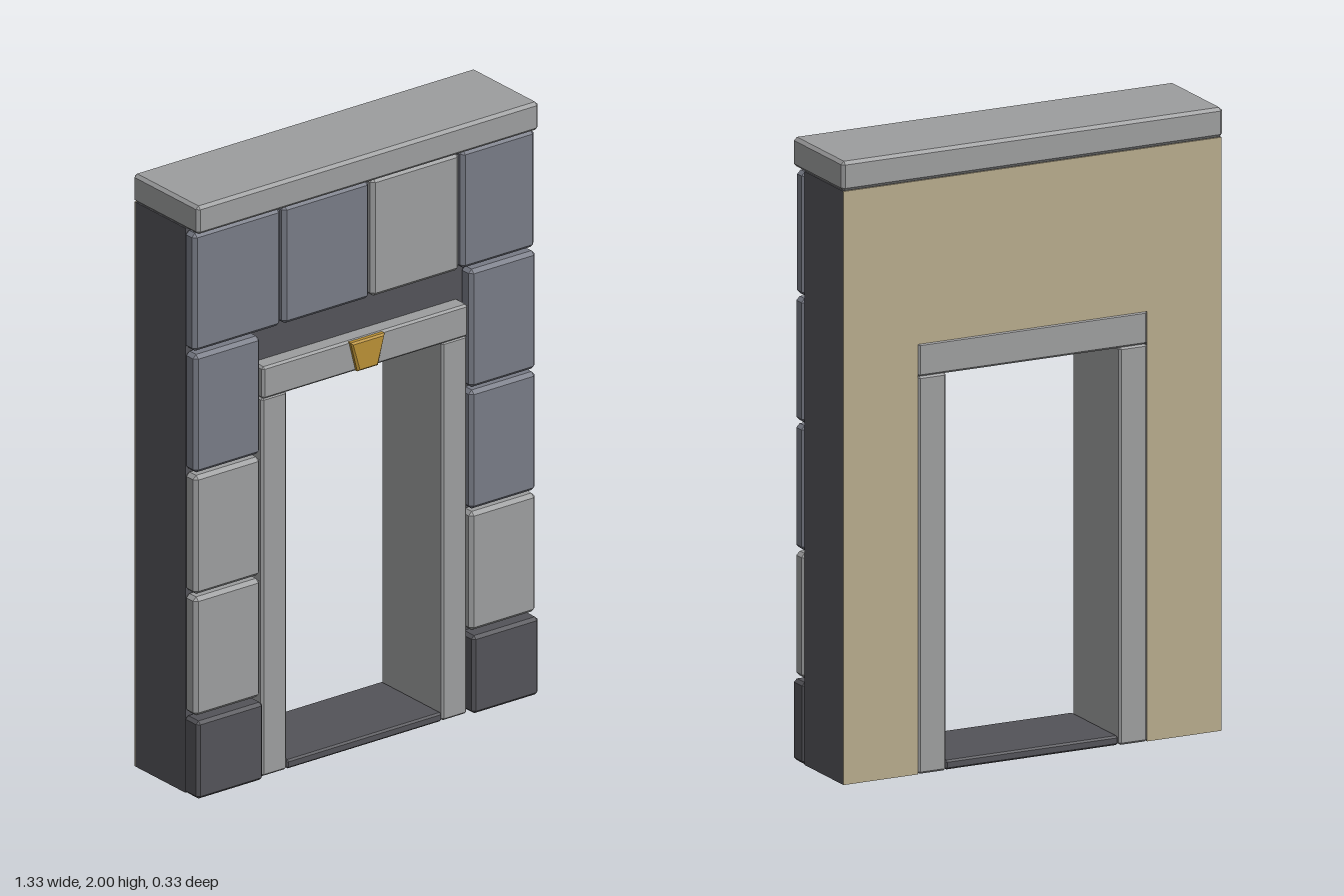
import * as THREE from 'three';
import { ConvexGeometry } from 'three/addons/geometries/ConvexGeometry.js';

const mat = (name, color) => {
  const m = new THREE.MeshStandardMaterial({ color });
  m.name = name;
  return m;
};

// Box between two corners with all edges chamfered by b
function chamferedBox([x0, y0, z0], [x1, y1, z1], b) {
  const h = [(x1 - x0) / 2, (y1 - y0) / 2, (z1 - z0) / 2];
  const points = [];
  for (const sx of [-1, 1]) for (const sy of [-1, 1]) for (const sz of [-1, 1]) {
    for (let full = 0; full < 3; full++) {
      const p = [sx, sy, sz].map((s, i) => s * (h[i] - (i === full ? 0 : b)));
      points.push(new THREE.Vector3(...p));
    }
  }
  return new ConvexGeometry(points).translate((x0 + x1) / 2, (y0 + y1) / 2, (z0 + z1) / 2);
}

// Wall outline with the doorway cut out from below
function archOutline() {
  const pts = [[-0.66, 0], [-0.4, 0], [-0.4, 1.38], [0.4, 1.38], [0.4, 0], [0.66, 0], [0.66, 1.905], [-0.66, 1.905]];
  return new THREE.Shape(pts.map(([x, y]) => new THREE.Vector2(x, y)));
}

export function createModel() {
  const model = new THREE.Group();
  model.name = 'stoneDoorway';
  const stone = mat('lightStone', 0x9c9d9e);
  const slate = mat('blueStone', 0x777a85);
  const dark = mat('darkStone', 0x535358);
  const plaster = mat('plaster', 0xb6aa8c);
  const gold = mat('gold', 0xb88f35);

  const add = (name, geometry, material) => {
    const mesh = new THREE.Mesh(geometry, material);
    mesh.name = name;
    model.add(mesh);
    return mesh;
  };
  const block = (name, a, b, material, bevel = 0.01) => add(name, chamferedBox(a, b, bevel), material);

  // Wall core and plastered back
  const slab = (depth, z) =>
    new THREE.ExtrudeGeometry(archOutline(), { depth, bevelEnabled: false }).translate(0, 0, z);
  add('wallCore', slab(0.253, -0.158), dark);
  add('plasterBack', slab(0.005, -0.163), plaster);

  // Coping along the top
  block('coping', [-0.665, 1.905, -0.166], [0.665, 2, 0.165], stone);

  // Side columns of facing blocks, from the ground up
  const rows = [[0.275, 0.675], [0.685, 1.085], [1.095, 1.493]];
  const columns = [[-1, [stone, stone, slate]], [1, [stone, slate, slate]]];
  for (const [side, colours] of columns) {
    const [x0, x1] = side < 0 ? [-0.665, -0.408] : [0.408, 0.665];
    const label = side < 0 ? 'right' : 'left';
    block(label + 'BaseBlock', [x0, 0, 0.093], [x1, 0.262, 0.165], dark);
    rows.forEach(([y0, y1], i) =>
      block(label + 'Block' + (i + 1), [x0, y0, 0.095], [x1, y1, 0.152], colours[i], 0.012));
  }

  // Top course of facing blocks
  const course = [[-0.665, -0.324, slate], [-0.316, 0.021, slate], [0.029, 0.371, stone], [0.379, 0.665, slate]];
  course.forEach(([x0, x1, m], i) =>
    block('topBlock' + (i + 1), [x0, 1.503, 0.093], [x1, 1.9, 0.146], m, 0.012));

  // Door surround through the whole wall
  for (const [label, x0, x1] of [['right', -0.4, -0.302], ['left', 0.302, 0.4]]) {
    block(label + 'Jamb', [x0, 0, -0.166], [x1, 1.277, 0.145], stone, 0.007);
  }
  block('lintel', [-0.4, 1.275, -0.166], [0.4, 1.383, 0.15], stone, 0.007);
  block('threshold', [-0.302, 0, -0.16], [0.302, 0.03, 0.145], dark, 0.006);

  // Wedge keystone with a bevelled front
  const wedge = (inset, z) => [[-0.04, 1.278, 1], [0.04, 1.278, 1], [0.066, 1.38, -1], [-0.066, 1.38, -1]]
    .map(([x, y, s]) => new THREE.Vector3(x - Math.sign(x) * inset, y + s * inset, z));
  add('keystone', new ConvexGeometry([...wedge(0, 0.14), ...wedge(0, 0.159), ...wedge(0.006, 0.165)]), gold);

  return model;
}
